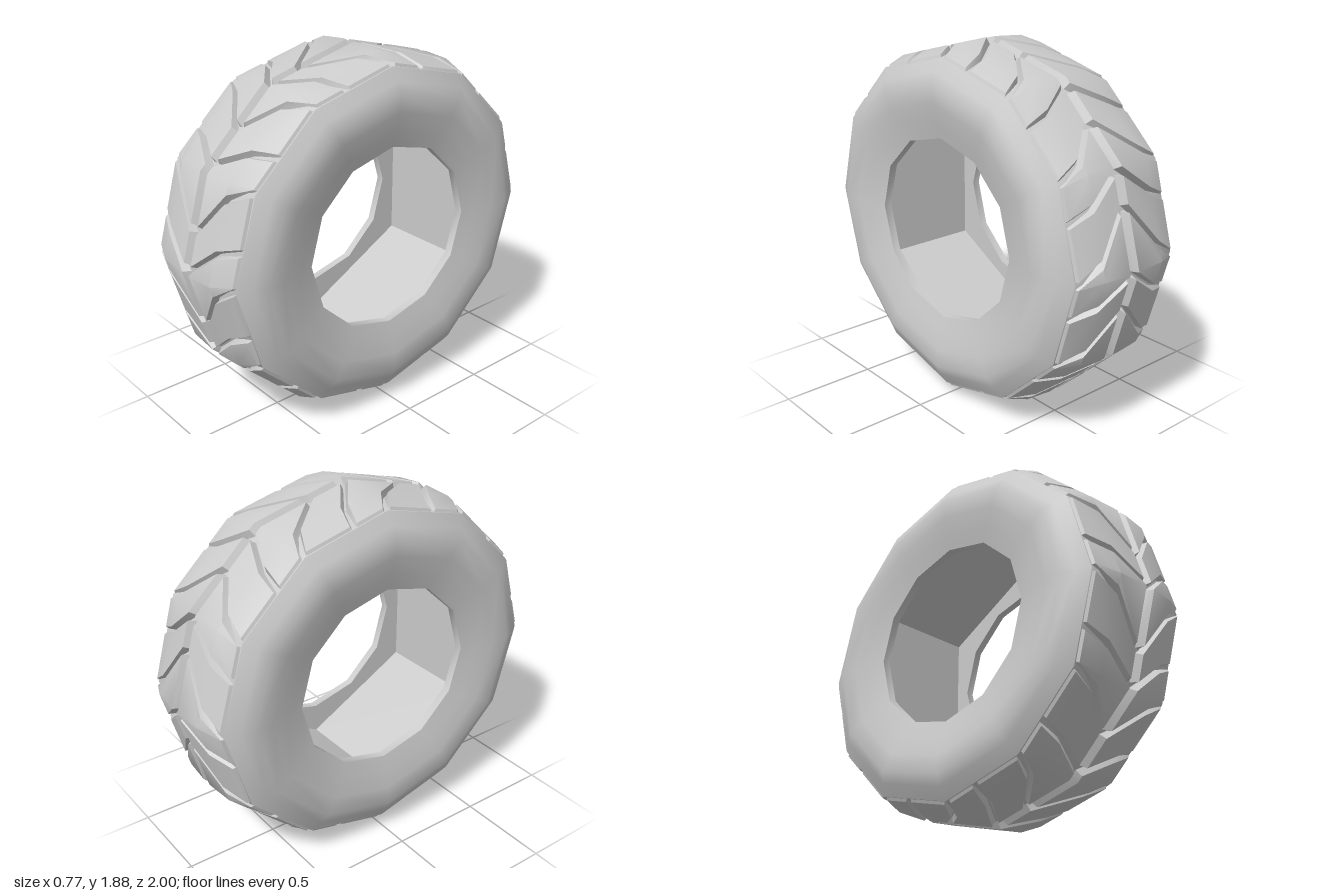
import * as THREE from 'three';
import { toCreasedNormals } from 'three/addons/utils/BufferGeometryUtils.js';

const SIDES = 12;
const SQUASH = 0.94; // the tyre is slightly lower than it is long
const CENTRE = 0.012; // the middle groove sits a little to the left
const BARREL_R = 0.68;
const BARREL_X = 0.29;
const rad = THREE.MathUtils.degToRad;

// Slant of the long and short grooves in degrees, repeating every quarter turn
const LONG_LAG = [18, 16.5, 14];
const SHORT_LAG = [10.5, 8.5, 10.5];

// Radius of a 12-sided ring (corner radius r) at an angle in degrees
function ringRadius(r, deg) {
  const step = 360 / SIDES;
  const local = ((deg % step) + step) % step;
  return r * Math.cos(rad(step / 2)) / Math.cos(rad(local - step / 2));
}

// Squash and stand the part on the ground
function place(geometry) {
  return geometry.scale(1, SQUASH, 1).translate(0, SQUASH + 0.002, 0);
}

// Stations across one tread block, from the centre groove to the shoulder
const STATIONS = [
  { x: 0.004, shift: CENTRE, top: 0.957, base: 0.957, lag: 1 },
  { x: 0.029, shift: CENTRE, top: 1.0, base: 0.957, lag: 1 },
  { x: 0.19, shift: 0, top: 0.988, base: 0.946, lag: 0.27 },
  { x: 0.308, shift: 0, top: 0.945, base: 0.915, lag: 0 },
  { x: 0.322, shift: 0, top: 0.912, base: 0.91, lag: 0 },
];

// One block between two slanted grooves, folded at the tyre corner `fold` (degrees)
function addBlock(positions, side, from, to, fold) {
  const topGap = 1.3, baseGap = 0.2, inset = 0.1;
  const grid = STATIONS.map((s) => {
    const a = from.outer - from.lag * s.lag;
    const b = to.outer - to.lag * s.lag;
    const start = a + topGap, end = b - topGap;
    const column = [
      [a + baseGap, s.base],
      [start, s.top],
      [THREE.MathUtils.clamp(fold, start + inset, end - inset), s.top],
      [end, s.top],
      [b - baseGap, s.base],
    ];
    return column.map(([deg, r]) => {
      const rr = ringRadius(r, deg);
      return [side * s.x + s.shift, rr * Math.sin(rad(deg)), rr * Math.cos(rad(deg))];
    });
  });
  for (let s = 0; s < grid.length - 1; s++) {
    for (let v = 0; v < grid[s].length - 1; v++) {
      const a = grid[s][v], b = grid[s + 1][v];
      const c = grid[s + 1][v + 1], d = grid[s][v + 1];
      const order = side > 0 ? [a, b, c, a, c, d] : [a, c, b, a, d, c];
      order.forEach((p) => positions.push(...p));
    }
  }
}

// All blocks on one half of the tread
function treadGeometry(side) {
  const positions = [];
  for (let k = 0; k < SIDES; k++) {
    const start = k * 30;
    const long = { outer: start, lag: LONG_LAG[k % 3] };
    const short = { outer: start + 12, lag: SHORT_LAG[k % 3] };
    const next = { outer: start + 30, lag: LONG_LAG[(k + 1) % 3] };
    addBlock(positions, side, long, short, start);
    addBlock(positions, side, short, next, start);
  }
  const geometry = new THREE.BufferGeometry();
  geometry.setAttribute('position', new THREE.Float32BufferAttribute(positions, 3));
  return toCreasedNormals(place(geometry), 0.6);
}

export function createModel() {
  const group = new THREE.Group();
  group.name = 'tyre';
  const material = new THREE.MeshStandardMaterial({ color: 0xcccccc, side: THREE.DoubleSide });
  const add = (name, geometry, mat = material) => {
    const mesh = new THREE.Mesh(geometry, mat);
    mesh.name = name;
    group.add(mesh);
  };

  // Carcass: lip, sidewall, shoulder and tread base, mirrored about the middle
  const half = [
    [BARREL_R, BARREL_X], [0.51, BARREL_X], [0.51, 0.332], [0.6, 0.354], [0.7, 0.375],
    [0.8, 0.385], [0.86, 0.358], [0.928, 0.32], [0.952, 0.19],
  ];
  const profile = [
    ...half.map(([r, x]) => new THREE.Vector2(r, -x)),
    new THREE.Vector2(0.963, 0),
    ...half.slice().reverse().map(([r, x]) => new THREE.Vector2(r, x)),
  ];
  const carcass = new THREE.LatheGeometry(profile, SIDES).rotateZ(-Math.PI / 2);
  add('carcass', toCreasedNormals(place(carcass), 0.7));

  // Six-sided barrel behind the rim lips
  const barrel = new THREE.CylinderGeometry(BARREL_R, BARREL_R, 2 * BARREL_X, 6, 1, true)
    .rotateY(Math.PI / 2)
    .rotateZ(-Math.PI / 2);
  const flat = material.clone();
  flat.flatShading = true;
  add('innerBarrel', place(barrel), flat);

  // Chevron tread
  add('leftTread', treadGeometry(1));
  add('rightTread', treadGeometry(-1));

  return group;
}
